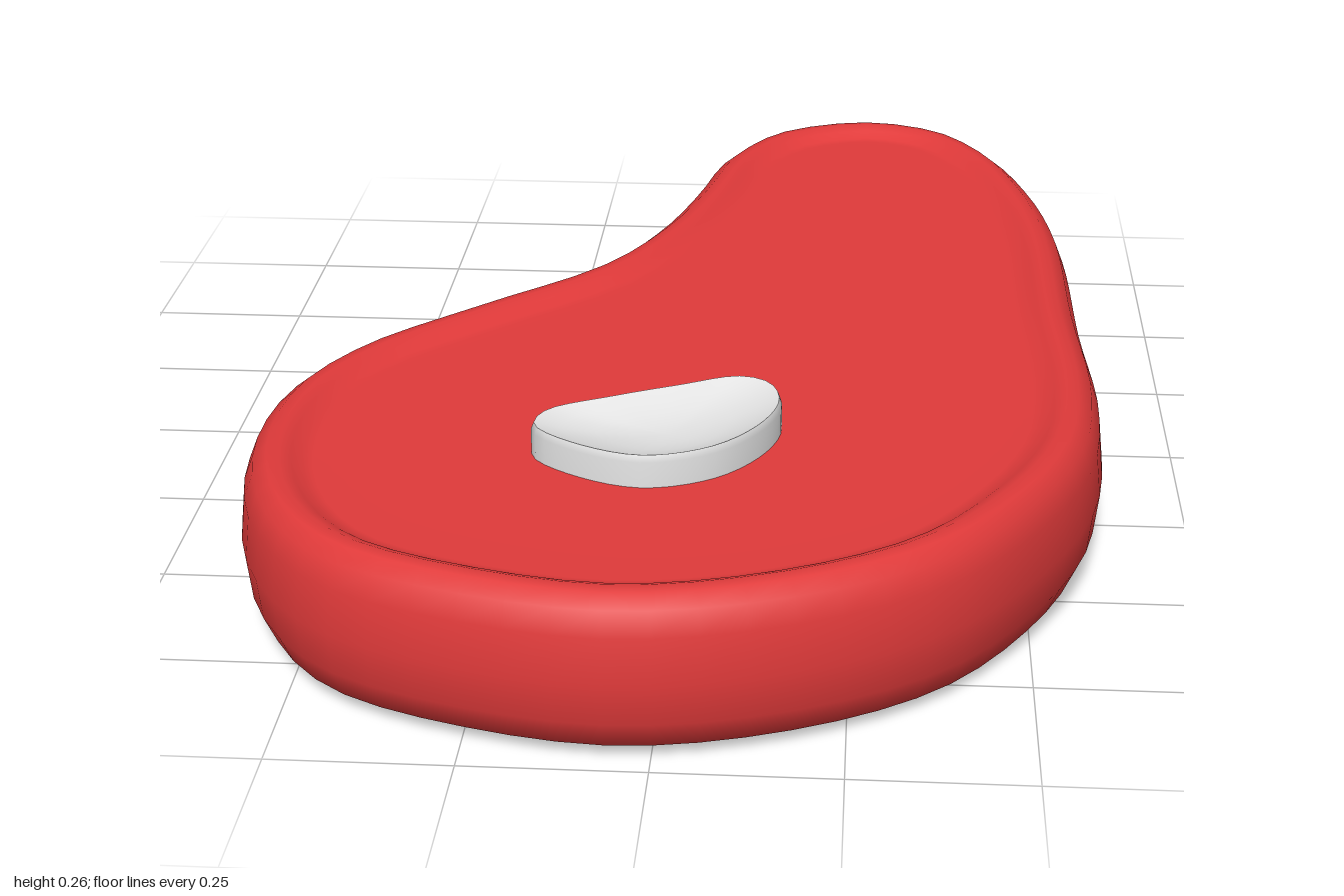
import * as THREE from 'three';

const red = new THREE.MeshStandardMaterial({ color: 0xe03a3a });
red.name = 'meat red';
const white = new THREE.MeshStandardMaterial({ color: 0xe4e4e4 });
white.name = 'bone white';

// Outlines as [x, z], running clockwise when seen from above
const meatOutline = [
  [0.25, -1], [0.4, -0.95], [0.495, -0.82], [0.56, -0.62], [0.595, -0.4], [0.605, -0.05],
  [0.618, 0.24], [0.595, 0.45], [0.52, 0.635], [0.39, 0.815], [0.2, 0.935], [-0.035, 0.995],
  [-0.26, 0.958], [-0.45, 0.87], [-0.56, 0.73], [-0.618, 0.53], [-0.607, 0.32], [-0.53, 0.15],
  [-0.37, -0.03], [-0.2, -0.21], [-0.11, -0.4], [-0.06, -0.58], [-0.015, -0.78], [0.08, -0.93],
];
const boneOutline = [
  [0.08, 0.325], [0.125, 0.345], [0.145, 0.41], [0.12, 0.5], [0.055, 0.58], [-0.04, 0.615],
  [-0.14, 0.58], [-0.203, 0.52], [-0.19, 0.465], [-0.1, 0.41], [-0.01, 0.365],
];

// Smooth closed outline sampled with its outward normals
function sampleOutline(points, count) {
  const curve = new THREE.CatmullRomCurve3(
    points.map(([x, z]) => new THREE.Vector3(x, 0, z)), true, 'centripetal');
  return Array.from({ length: count }, (_, i) => {
    const p = curve.getPointAt(i / count);
    const t = curve.getTangentAt(i / count);
    return { x: p.x, z: p.z, nx: t.z, nz: -t.x };
  });
}

// Joins rings from bottom to top; each ring is { inset, y, scale }.
// scale shrinks a ring toward the centre, and scale 0 closes the surface.
function loft(outline, rings, [cx, cz]) {
  const n = outline.length, positions = [], index = [];
  for (const { inset = 0, y, scale = 1 } of rings) {
    for (const o of outline) {
      positions.push(
        cx + (o.x - o.nx * inset - cx) * scale, y,
        cz + (o.z - o.nz * inset - cz) * scale);
    }
  }
  for (let j = 0; j < rings.length - 1; j++) {
    for (let i = 0; i < n; i++) {
      const k = (i + 1) % n;
      const a = j * n + i, b = j * n + k, c = a + n, d = b + n;
      if (rings[j].scale !== 0) index.push(a, c, b);
      if (rings[j + 1].scale !== 0) index.push(b, c, d);
    }
  }
  const geometry = new THREE.BufferGeometry();
  geometry.setAttribute('position', new THREE.Float32BufferAttribute(positions, 3));
  geometry.setIndex(index);
  geometry.computeVertexNormals();
  // Centre vertices lie on flat or symmetric caps, so they point straight up or down
  const normals = geometry.attributes.normal;
  rings.forEach((ring, j) => {
    if (ring.scale !== 0) return;
    for (let i = 0; i < n; i++) normals.setXYZ(j * n + i, 0, j === 0 ? -1 : 1, 0);
  });
  return geometry;
}

function addPart(parent, name, geometry, material) {
  const mesh = new THREE.Mesh(geometry, material);
  mesh.name = name;
  parent.add(mesh);
}

export function createModel() {
  const model = new THREE.Group();
  model.name = 'steak';

  // Meat slab: flat base, rounded side, raised rim and recessed face
  addPart(model, 'meat', loft(sampleOutline(meatOutline, 80), [
    { y: 0, scale: 0 },
    { inset: 0.085, y: 0.002 },
    { inset: 0.055, y: 0.006 },
    { inset: 0.025, y: 0.02 },
    { inset: 0.007, y: 0.06 },
    { inset: 0, y: 0.12 },
    { inset: 0.007, y: 0.185 },
    { inset: 0.02, y: 0.218 },
    { inset: 0.04, y: 0.234 },
    { inset: 0.058, y: 0.236 },
    { inset: 0.075, y: 0.229 },
    { inset: 0.09, y: 0.219 },
    { inset: 0.105, y: 0.217 },
    { y: 0.217, inset: 0.105, scale: 0.9 },
    { y: 0.217, scale: 0 },
  ], [0.2, 0.1]), red);

  // Bone: upright edge with a shallow dished top
  const bone = new THREE.Group();
  bone.name = 'bone';
  const boneRing = sampleOutline(boneOutline, 44);
  const boneCentre = [-0.01, 0.48];
  addPart(bone, 'boneEdge', loft(boneRing, [
    { y: 0.2 }, { y: 0.255 }, { inset: 0.004, y: 0.265 },
  ], boneCentre), white);
  addPart(bone, 'boneDish', loft(boneRing, [
    { inset: 0.004, y: 0.265 },
    { inset: 0.004, y: 0.254, scale: 0.8 },
    { inset: 0.004, y: 0.245, scale: 0.55 },
    { inset: 0.004, y: 0.24, scale: 0.3 },
    { y: 0.238, scale: 0 },
  ], boneCentre), white);
  model.add(bone);

  return model;
}
